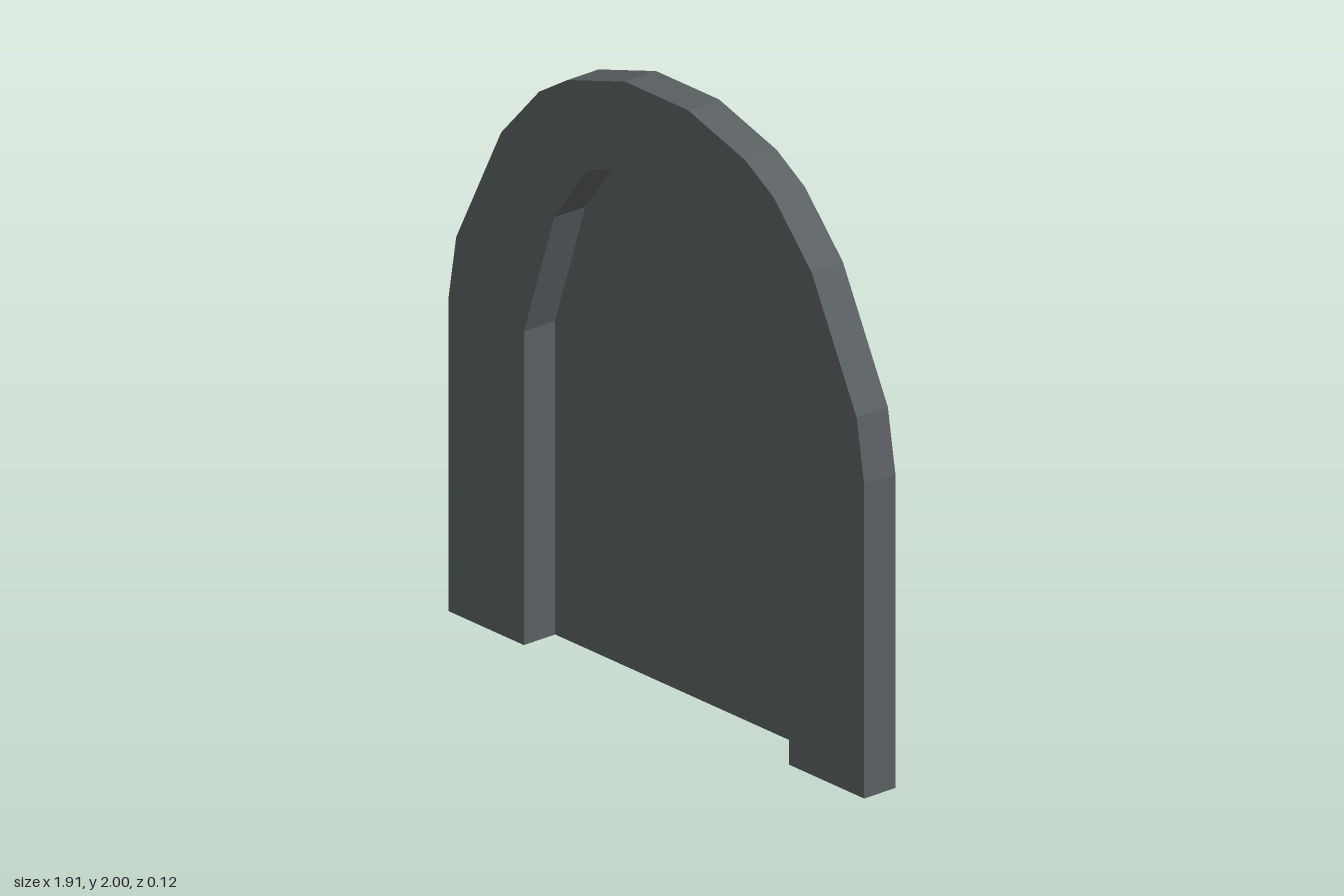
import * as THREE from 'three';

const DEPTH = 0.125;

// Right half of each outline, from the floor up
const OUTER = [[0.957, 0], [0.957, 1.03], [0.922, 1.24], [0.715, 1.65], [0.54, 1.84], [0.41, 1.92], [0.145, 2]];
const INNER = [[0.61, 0], [0.61, 1.03], [0.47, 1.45], [0.32, 1.65], [0, 1.773]];

// Mirror a half outline across x = 0, running from right foot to left foot
function mirrored(half) {
  const right = half.map(([x, y]) => new THREE.Vector2(x, y));
  const left = half.filter(([x]) => x > 0).map(([x, y]) => new THREE.Vector2(-x, y)).reverse();
  return [...right, ...left];
}

export function createModel() {
  const group = new THREE.Group();
  group.name = 'archway';

  const stone = new THREE.MeshStandardMaterial({ color: 0x5a5f62, side: THREE.DoubleSide });
  stone.name = 'dark grey stone';

  // Arch frame: outer outline up and over, then back along the opening
  const frameShape = new THREE.Shape([...mirrored(OUTER), ...mirrored(INNER).reverse()]);
  const frameGeometry = new THREE.ExtrudeGeometry(frameShape, { depth: DEPTH, bevelEnabled: false });
  frameGeometry.translate(0, 0, -DEPTH / 2);
  const frame = new THREE.Mesh(frameGeometry, stone);
  frame.name = 'archFrame';
  group.add(frame);

  // Thin panel closing the opening, flush with the back
  const panel = new THREE.Mesh(new THREE.ShapeGeometry(new THREE.Shape(mirrored(INNER))), stone);
  panel.name = 'backPanel';
  panel.position.z = -DEPTH / 2;
  group.add(panel);

  return group;
}
